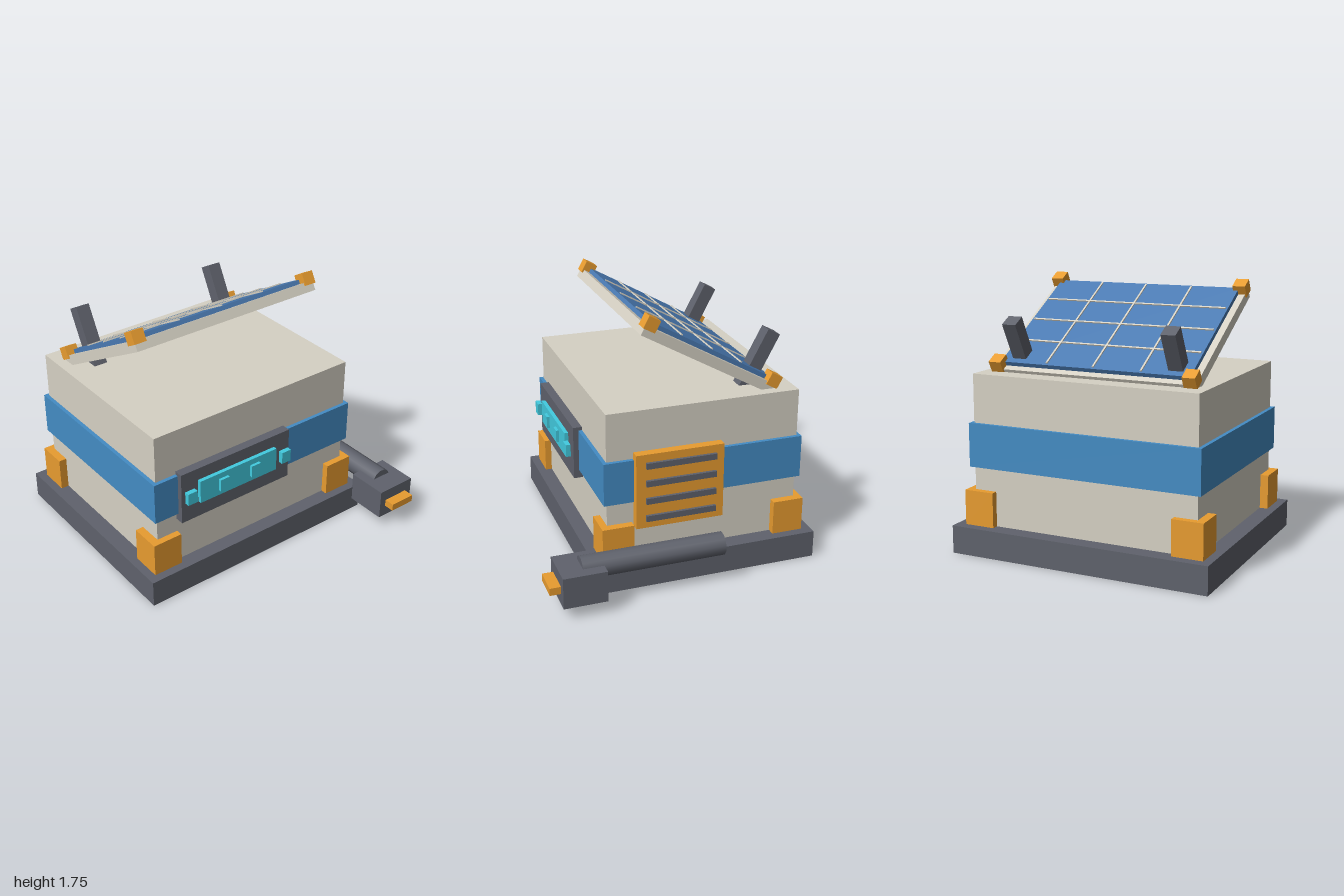
import * as THREE from 'three';

const mat = (color) => new THREE.MeshStandardMaterial({ color });

export function createModel() {
  const model = new THREE.Group();
  const beige = mat(0xd6d1c4), dark = mat(0x5f626c), blue = mat(0x448cc4);
  const orange = mat(0xe89c30), cyan = mat(0x42cbe0), cell = mat(0x4a7ab2);

  // Box given by its lowest and highest corner
  function box(name, material, [x0, y0, z0], [x1, y1, z1], parent = model) {
    const mesh = new THREE.Mesh(new THREE.BoxGeometry(x1 - x0, y1 - y0, z1 - z0), material);
    mesh.position.set((x0 + x1) / 2, (y0 + y1) / 2, (z0 + z1) / 2);
    mesh.name = name;
    parent.add(mesh);
    return mesh;
  }

  // Base slab, body and band
  box('base', dark, [-1, 0, -0.935], [0.777, 0.185, 0.577]);
  box('body', beige, [-0.888, 0.185, -0.825], [0.661, 1.177, 0.475]);
  box('band', blue, [-0.914, 0.57, -0.85], [0.687, 0.858, 0.5]);

  // Corner guards
  for (const x of [-0.943, 0.508])
    for (const z of [-0.87, 0.31])
      box('cornerGuard', orange, [x, 0.185, z], [x + 0.207, 0.417, z + 0.21]);

  // Front display with four indicators
  box('displayHousing', dark, [-0.738, 0.515, 0.47], [0.128, 0.88, 0.536]);
  box('displayScreen', cyan, [-0.61, 0.632, 0.53], [0.003, 0.795, 0.563]);
  for (let i = 0; i < 4; i++) {
    const x = -0.683 + i * 0.252;
    box('indicator', cyan, [x - 0.036, 0.67, 0.55], [x + 0.036, 0.755, 0.583]);
  }

  // Side vent with slats
  box('ventPlate', orange, [0.674, 0.4, -0.285], [0.735, 0.908, 0.303]);
  for (let i = 0; i < 4; i++) {
    const y = 0.47 + i * 0.1215;
    box('ventSlat', dark, [0.72, y - 0.02, -0.23], [0.755, y + 0.02, 0.24]);
  }

  // Side pipe with outlet
  const pipe = new THREE.Mesh(
    new THREE.CylinderGeometry(0.0775, 0.0775, 0.945, 12, 1, false, Math.PI / 12), dark);
  pipe.rotation.x = Math.PI / 2;
  pipe.position.set(0.854, 0.267, 0.238);
  pipe.name = 'pipe';
  model.add(pipe);
  box('outletBlock', dark, [0.711, 0.086, 0.574], [1, 0.295, 0.858]);
  box('outletLip', orange, [0.76, 0.165, 0.85], [0.948, 0.215, 0.93]);

  // Support posts leaning backwards through the panel
  for (const x of [-0.657, 0.428]) {
    const post = box('panelPost', dark, [-0.048, -0.25, -0.047], [0.048, 0.25, 0.047]);
    post.position.set(x, 1.2955, -0.603);
    post.rotation.x = -0.49;
  }

  // Tilted solar panel
  const panel = new THREE.Group();
  panel.name = 'solarPanel';
  panel.position.set(-0.112, 1.4625, -0.264);
  panel.rotation.x = -0.51;
  model.add(panel);
  box('panelFrame', beige, [-0.7, -0.088, -0.508], [0.7, -0.021, 0.508], panel);
  box('solarCells', cell, [-0.655, -0.03, -0.467], [0.655, 0.008, 0.467], panel);
  for (let i = -1; i <= 1; i++) {
    const x = i * 0.3275, z = i * 0.2325;
    box('gridLine', beige, [x - 0.006, 0, -0.453], [x + 0.006, 0.016, 0.453], panel);
    box('gridLine', beige, [-0.642, 0, z - 0.006], [0.642, 0.016, z + 0.006], panel);
  }
  for (const x of [-0.667, 0.667])
    for (const z of [-0.477, 0.477])
      box('panelCornerCap', orange, [x - 0.043, -0.042, z - 0.043],
        [x + 0.043, 0.042, z + 0.043], panel);

  return model;
}
